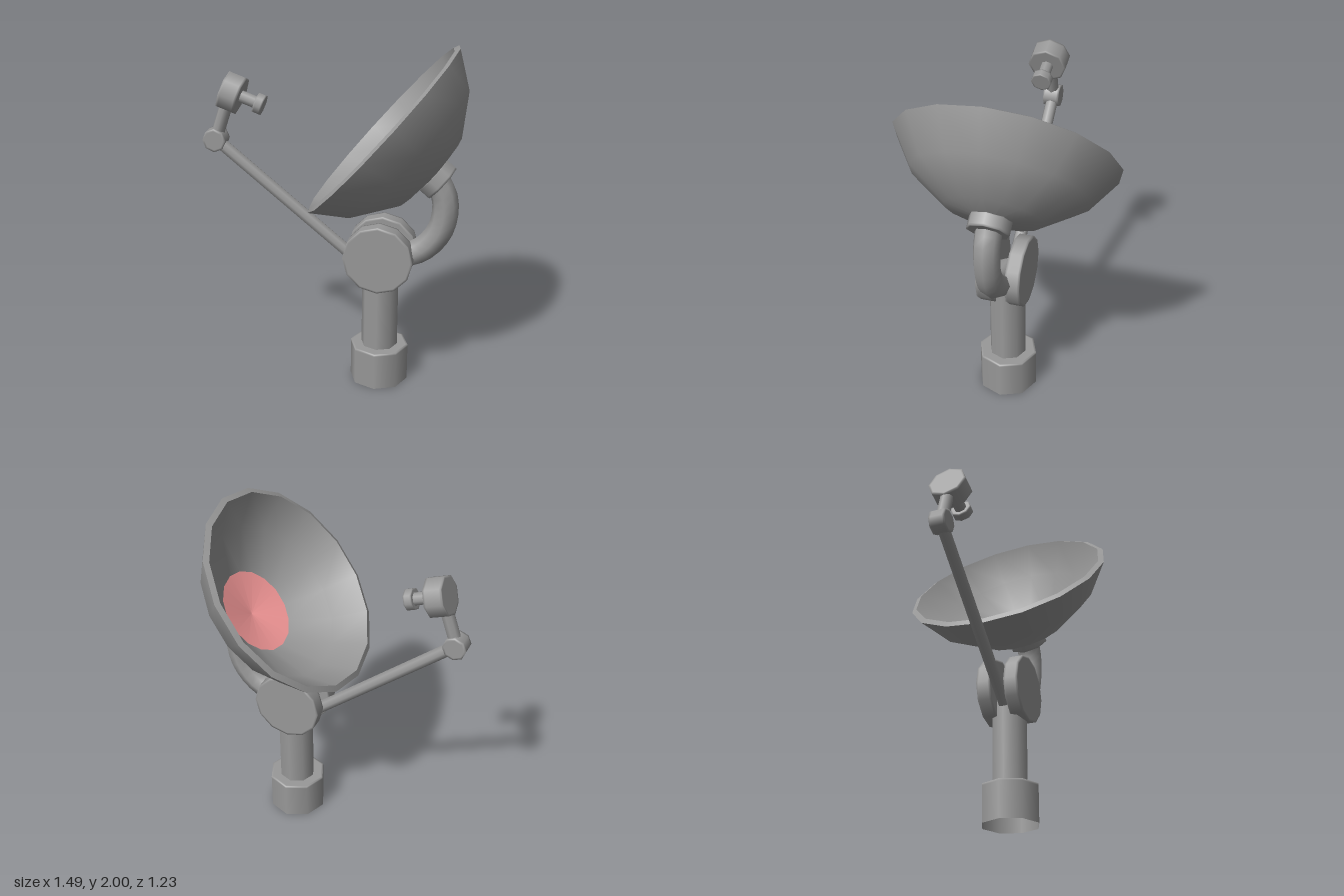
import * as THREE from 'three';

const grey = new THREE.MeshStandardMaterial({ color: 0x999999 });
const greyOpen = new THREE.MeshStandardMaterial({ color: 0x999999, side: THREE.DoubleSide });
const red = new THREE.MeshStandardMaterial({ color: 0xff9f9f });
const Z = 0.006; // centre plane of the mount
const X = 0.281; // pillar axis

const v = (x, y, z = Z) => new THREE.Vector3(x, y, z);

function add(parent, name, geometry, material = grey) {
  const mesh = new THREE.Mesh(geometry, material);
  mesh.name = name;
  parent.add(mesh);
  return mesh;
}

function lathe(parent, name, points, sides, material) {
  const profile = points.map(([r, y]) => new THREE.Vector2(r, y));
  return add(parent, name, new THREE.LatheGeometry(profile, sides), material);
}

// Set a y-aligned mesh midway between a and b, pointing at b
function aimAt(mesh, a, b) {
  mesh.position.copy(a).add(b).multiplyScalar(0.5);
  mesh.quaternion.setFromUnitVectors(new THREE.Vector3(0, 1, 0), b.clone().sub(a).normalize());
}

// Plain cylinder from a to b
function rod(parent, name, a, b, radius, sides = 8) {
  const geometry = new THREE.CylinderGeometry(radius, radius, a.distanceTo(b), sides);
  aimAt(add(parent, name, geometry), a, b);
}

// Short cylinder from a to b, shaded softly over its edges
function drum(parent, name, a, b, radius, sides = 8) {
  const h = a.distanceTo(b) / 2;
  const e = Math.min(0.012, h / 3);
  const mesh = lathe(parent, name, [
    [0, -h], [radius - e, -h], [radius, -h], [radius, e - h],
    [radius, h - e], [radius, h], [radius - e, h], [0, h],
  ], sides);
  aimAt(mesh, a, b);
}

export function createModel() {
  const model = new THREE.Group();
  model.name = 'dishAntenna';

  // Base, open underneath, and pillar
  const base = lathe(model, 'base',
    [[0.17, 0], [0.17, 0.213], [0.17, 0.225], [0.158, 0.225], [0, 0.225]], 8, greyOpen);
  base.position.set(X, 0, Z);
  rod(model, 'pillar', v(X, 0.215), v(X, 0.74), 0.106);

  // Pair of pivot discs
  for (const side of [1, -1]) {
    drum(model, side > 0 ? 'frontPivotDisc' : 'backPivotDisc',
      v(X, 0.8, Z + side * 0.042), v(X, 0.8, Z + side * 0.125), 0.2, 12);
  }

  // Curved support from the pivot to the back of the dish
  const bend = new THREE.CatmullRomCurve3([
    v(X, 0.785), v(0.45, 0.81), v(0.545, 0.87), v(0.615, 0.97),
    v(0.64, 1.09), v(0.63, 1.18), v(0.585, 1.27),
  ]);
  add(model, 'curvedSupport', new THREE.TubeGeometry(bend, 14, 0.074, 8, false));
  drum(model, 'dishCollar', v(0.554, 1.303), v(0.615, 1.251), 0.118);

  // Dish: local +y is the opening direction
  const dish = new THREE.Group();
  dish.name = 'dish';
  dish.position.set(0.28, 1.535, 0);
  dish.rotation.z = 0.86;
  model.add(dish);
  lathe(dish, 'dishOuterShell', [[0, -0.385], [0.264, -0.342], [0.485, -0.19], [0.617, 0]], 16);
  lathe(dish, 'dishRim', [[0.617, 0], [0.585, 0.013]], 16);
  lathe(dish, 'dishInnerShell', [[0.585, 0.013], [0.46, -0.16], [0.245, -0.3]], 16);
  lathe(dish, 'dishCentre', [[0.245, -0.3], [0, -0.345]], 16, red);

  // Feed arm with elbow
  rod(model, 'feedArm', v(0.2, 0.7), v(-0.67, 1.408), 0.036);
  drum(model, 'elbow', v(-0.678, 1.418, Z - 0.046), v(-0.678, 1.418, Z + 0.046), 0.067);
  rod(model, 'feedStrut', v(-0.678, 1.418), v(-0.6, 1.65), 0.037);

  // Feed head pointing at the dish
  const head = v(-0.572, 1.692);
  const aim = new THREE.Vector3(0.94, -0.33, 0).normalize();
  const along = (t) => head.clone().addScaledVector(aim, t);
  drum(model, 'feedHead', along(-0.053), along(0.053), 0.111);
  rod(model, 'feedStem', along(0.04), along(0.15), 0.036);
  drum(model, 'feedTip', along(0.143), along(0.189), 0.06);

  return model;
}
